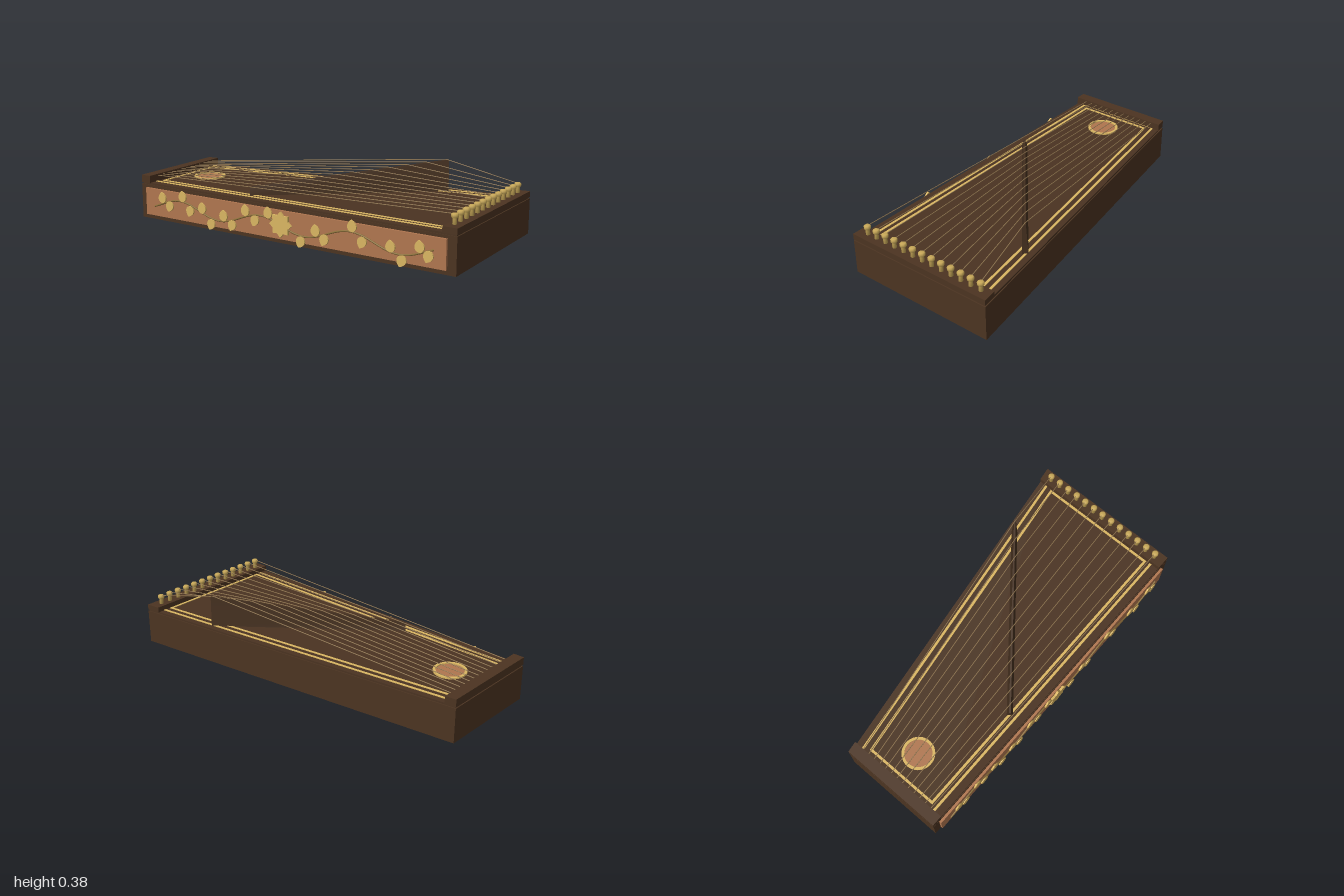
import * as THREE from 'three';

const mat = (name, color) => {
  const m = new THREE.MeshStandardMaterial({ color });
  m.name = name;
  return m;
};

export function createModel() {
  const wood = mat('dark wood', 0x4c3421);
  const boardWood = mat('soundboard wood', 0x4a3321);
  const bridgeWood = mat('bridge wood', 0x45301f);
  const panelWood = mat('reddish panel wood', 0xb0764f);
  const gold = mat('gold', 0xdab662);
  const brass = mat('brass', 0xc8a858);
  const stemGold = mat('dull gold', 0x8a6e38);
  const wire = mat('string', 0x927750);

  const model = new THREE.Group();
  model.name = 'zither';
  const add = (name, geo, material, parent = model) => {
    const mesh = new THREE.Mesh(geo, material);
    mesh.name = name;
    parent.add(mesh);
    return mesh;
  };
  const group = (name) => {
    const g = new THREE.Group();
    g.name = name;
    model.add(g);
    return g;
  };

  // Slanted back edge of the body
  const backZ = (x) => -0.3125 - 0.1425 * x;
  // Plan outline with a straight front and slanted back
  const outline = (x0, x1, front, inset) => [
    [x0, -front], [x1, -front], [x1, -backZ(x1) - inset], [x0, -backZ(x0) - inset],
  ].map(([x, y]) => new THREE.Vector2(x, y));
  const slab = (shape, y0, y1) =>
    new THREE.ExtrudeGeometry(shape, { depth: y1 - y0, bevelEnabled: false, curveSegments: 32 })
      .rotateX(-Math.PI / 2).translate(0, y0, 0);
  const prism = (x0, x1, front, inset, y0, y1) =>
    slab(new THREE.Shape(outline(x0, x1, front, inset)), y0, y1);

  // Body, soundboard and the two end rails
  add('body', prism(-1, 1, 0.43, 0, 0, 0.197), wood);
  add('soundboard', prism(-0.994, 0.994, 0.425, 0.006, 0.197, 0.207), boardWood);
  add('leftRail', prism(-1, -0.938, 0.43, 0, 0.205, 0.248), wood);
  add('pinRail', prism(0.92, 1, 0.43, 0, 0.205, 0.237), wood);

  // Gold inlay frames on the soundboard
  const inlay = (name, x, front, inset, w) => {
    const shape = new THREE.Shape(outline(-x, x, front, inset));
    shape.holes.push(new THREE.Path(outline(-x + w, x - w, front - w, inset + w)));
    add(name, slab(shape, 0.206, 0.21), gold);
  };
  inlay('outerInlay', 0.952, 0.382, 0.04, 0.014);
  inlay('innerInlay', 0.917, 0.347, 0.082, 0.014);

  // Sound hole
  const hole = group('soundHole');
  hole.position.set(-0.762, 0.207, 0.11);
  add('soundHoleDisc', new THREE.CylinderGeometry(0.078, 0.078, 0.004, 32), panelWood, hole);
  const ring = new THREE.Shape().absarc(0, 0, 0.09, 0, Math.PI * 2);
  ring.holes.push(new THREE.Path().absarc(0, 0, 0.075, 0, Math.PI * 2, true));
  add('soundHoleRing', slab(ring, 0, 0.008), gold, hole);

  // Diagonal bridge: wedge, rising to the back, thinner at the top
  const b0 = new THREE.Vector2(-0.285, 0.343), b1 = new THREE.Vector2(0.565, -0.343);
  const bridgeTop = (t) => 0.254 + 0.127 * t;
  const bridgeGeo = new THREE.BoxGeometry(1, 1, 1);
  const p = bridgeGeo.attributes.position;
  for (let i = 0; i < p.count; i++) {
    const t = p.getX(i) + 0.5, top = p.getY(i) > 0;
    p.setXYZ(i, p.getX(i) * b0.distanceTo(b1), top ? bridgeTop(t) : 0.206, p.getZ(i) * (top ? 0.01 : 0.034));
  }
  bridgeGeo.rotateY(Math.atan2(b0.y - b1.y, b1.x - b0.x))
    .translate((b0.x + b1.x) / 2, 0, (b0.y + b1.y) / 2);
  bridgeGeo.computeVertexNormals();
  add('bridge', bridgeGeo, bridgeWood);

  // Strings run from the left rail over the bridge to a tuning pin
  const strings = group('strings'), pins = group('tuningPins');
  const up = new THREE.Vector3(0, 1, 0);
  const strand = (a, b) => {
    const d = b.clone().sub(a);
    const s = add('string', new THREE.CylinderGeometry(0.0022, 0.0022, d.length(), 20, 1, true), wire, strings);
    s.position.copy(a).addScaledVector(d, 0.5);
    s.quaternion.setFromUnitVectors(up, d.normalize());
  };
  const pinGeo = new THREE.LatheGeometry([
    [0, 0], [0.012, 0], [0.011, 0.029], [0.018, 0.037], [0.019, 0.05], [0.013, 0.056], [0, 0.056],
  ].map(([x, y]) => new THREE.Vector2(x, y)), 10);
  for (let i = 0; i < 13; i++) {
    const zl = 0.36 - 0.04 * i, zr = 0.368 - 0.0632 * i;
    // Where the string crosses the bridge in plan
    const slope = (zr - zl) / 1.9;
    let t = (b0.y - zl - slope * (b0.x + 0.95)) / (b0.y - b1.y + slope * (b1.x - b0.x));
    t = Math.min(1, Math.max(0, t));
    const x = b0.x + (b1.x - b0.x) * t;
    const over = new THREE.Vector3(x, bridgeTop(t) + 0.003, zl + slope * (x + 0.95));
    strand(new THREE.Vector3(-0.95, 0.239, zl), over);
    strand(over, new THREE.Vector3(0.95, 0.288, zr));
    add('tuningPin', pinGeo, brass, pins).position.set(0.954, 0.236, zr);
  }

  // Front panel with a vine relief
  add('frontPanel', new THREE.BoxGeometry(1.91, 0.156, 0.016), panelWood).position.set(-0.003, 0.103, 0.436);
  const vine = group('vine');
  const vineY = (x) => 0.1 + 0.036 * Math.cos((2 * Math.PI * (x - 0.42)) / 0.56);
  const points = [];
  for (let i = 0; i <= 40; i++) {
    const x = -0.89 + i * 0.0445;
    points.push(new THREE.Vector3(x, vineY(x), 0.447));
  }
  add('vineStem', new THREE.TubeGeometry(new THREE.CatmullRomCurve3(points), 100, 0.005, 12), stemGold, vine);

  // Broad pointed leaves, alternating above and below the stem
  const leaf = new THREE.Shape();
  leaf.moveTo(0, 0);
  leaf.bezierCurveTo(0.034, 0.006, 0.038, 0.04, 0.004, 0.064);
  leaf.bezierCurveTo(-0.034, 0.046, -0.036, 0.01, 0, 0);
  const leafGeo = new THREE.ExtrudeGeometry(leaf, { depth: 0.009, bevelEnabled: false, curveSegments: 8 });
  const leaves = (xs, dir) => xs.forEach((x) => {
    const m = add('leaf', leafGeo, gold, vine);
    m.position.set(x, vineY(x) + dir * 0.001, 0.447);
    m.rotation.z = dir > 0 ? 0.25 : Math.PI - 0.25;
  });
  leaves([-0.82, -0.67, -0.53, -0.38, -0.23, -0.08, 0.22, 0.44, 0.66, 0.82], 1);
  leaves([-0.765, -0.615, -0.465, -0.32, -0.165, 0.13, 0.275, 0.5, 0.725, 0.87], -1);

  // Eight-pointed rosette in the middle of the vine
  const star = new THREE.Shape();
  for (let i = 0; i < 16; i++) {
    const r = i % 2 ? 0.052 : 0.07, a = (i * Math.PI) / 8;
    star[i ? 'lineTo' : 'moveTo'](r * Math.cos(a), r * Math.sin(a));
  }
  add('rosette', new THREE.ExtrudeGeometry(star, { depth: 0.013, bevelEnabled: false }), gold, vine)
    .position.set(-0.005, 0.107, 0.444);

  return model;
}
